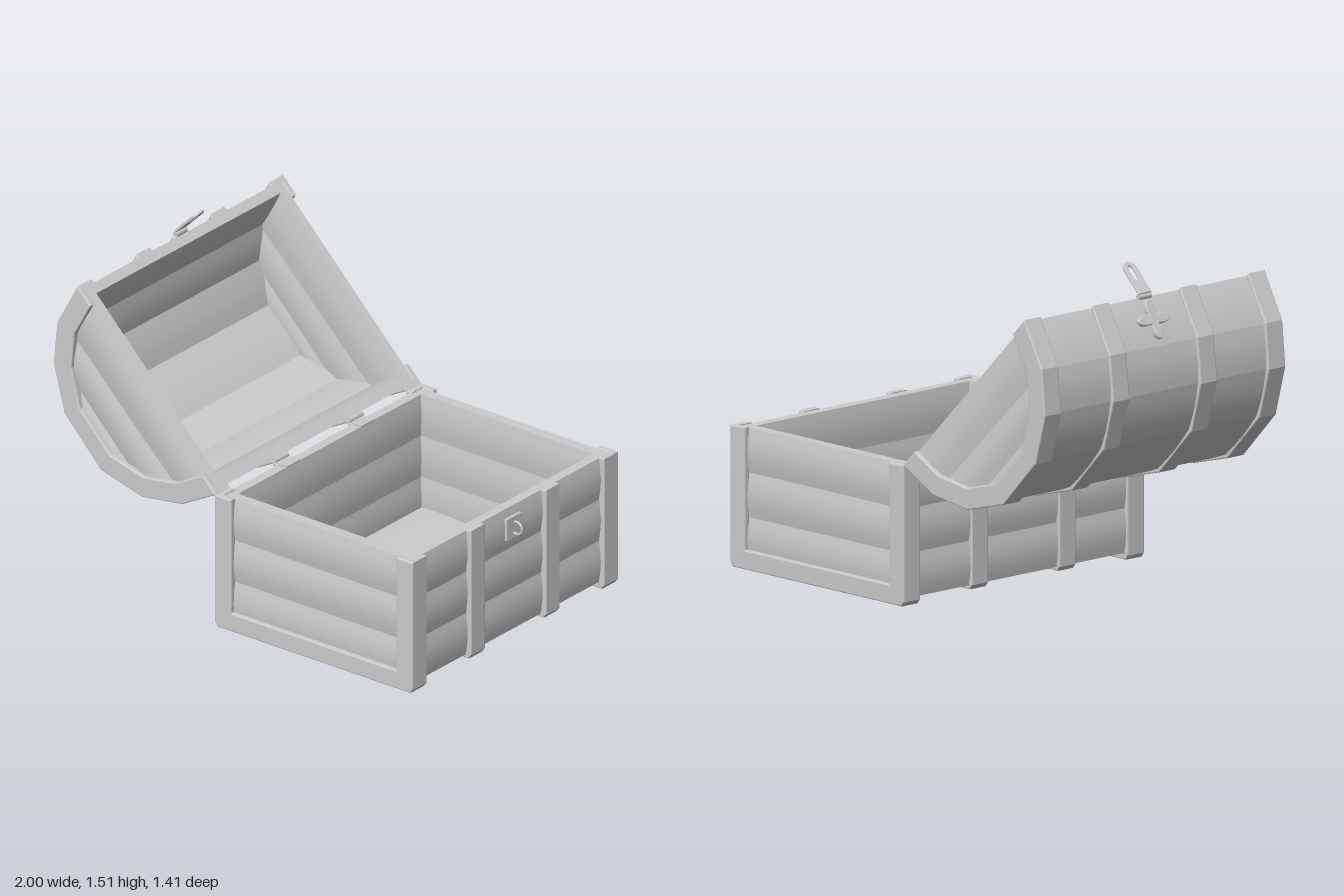
import * as THREE from 'three';
import { toCreasedNormals } from 'three/addons/utils/BufferGeometryUtils.js';

const V = (x, y, z) => new THREE.Vector3(x, y, z);

// Slightly bulged board between edges a0-a1 and b0-b1 of its outer face;
// da and db lead from those edges to the inner face.
function plankGeometry(a0, a1, b0, b1, da, db, bulge = 0.012) {
  const n = 6, pos = [];
  const dir = da.clone().add(db).normalize();
  const section = (a, b) => {
    const outer = [], inner = [];
    for (let i = 0; i <= n; i++) {
      const t = i / n, h = bulge * Math.sin(Math.PI * t);
      const p = a.clone().lerp(b, t);
      outer.push(p.clone().addScaledVector(dir, -h));
      inner.push(p.add(da.clone().lerp(db, t)).addScaledVector(dir, h * 0.7));
    }
    return { outer, inner, loop: [...outer, ...inner.slice().reverse()] };
  };
  const s = section(a0, b0), e = section(a1, b1);
  const keep = b0.clone().sub(a0).cross(dir).dot(a1.clone().sub(a0)) > 0;
  const tri = (p, q, r) => (keep ? [p, q, r] : [p, r, q]).forEach(v => pos.push(v.x, v.y, v.z));
  const quad = (p, q, r, t) => { tri(p, q, r); tri(p, r, t); };
  for (let i = 0; i < s.loop.length; i++) {
    const j = (i + 1) % s.loop.length;
    quad(s.loop[i], s.loop[j], e.loop[j], e.loop[i]);
  }
  for (let i = 0; i < n; i++) {
    quad(s.outer[i], s.inner[i], s.inner[i + 1], s.outer[i + 1]);
    quad(e.outer[i], e.outer[i + 1], e.inner[i + 1], e.inner[i]);
  }
  const g = new THREE.BufferGeometry();
  g.setAttribute('position', new THREE.Float32BufferAttribute(pos, 3));
  return toCreasedNormals(g, 0.3);
}

// Flat outline extruded from z0 to z1 with a small bevel
function plateGeometry(shape, z0, z1, bevel = 0.006) {
  const g = new THREE.ExtrudeGeometry(shape, {
    depth: z1 - z0 - 2 * bevel, bevelThickness: bevel, bevelSize: bevel,
    bevelOffset: -bevel, bevelSegments: 2, curveSegments: 12,
  });
  return g.translate(0, 0, z0 + bevel);
}

const outline = (outer, inner) =>
  new THREE.Shape([...outer, ...inner.slice().reverse()].map(p => new THREE.Vector2(p[0], p[1])));

export function createModel() {
  const model = new THREE.Group();
  model.name = 'chest';
  const grey = new THREE.MeshStandardMaterial({ color: 0xcccccc });
  grey.name = 'plain grey';
  const add = (parent, name, geo) => {
    const m = new THREE.Mesh(geo, grey);
    m.name = name;
    parent.add(m);
    return m;
  };
  const part = name => {
    const g = new THREE.Group();
    g.name = name;
    model.add(g);
    return g;
  };

  // ---- Box: walls of three boards, floor of four ----
  const box = part('box');
  const xl = -0.1, xr = 0.93, zw = 0.675;
  for (let i = 0; i < 3; i++) {
    const y0 = 0.03 + i * 0.195, y1 = y0 + 0.195;
    for (const s of [1, -1]) {
      const d = V(0, 0, -0.05 * s);
      add(box, 'sideBoard', plankGeometry(
        V(xl, y0, s * zw), V(xr, y0, s * zw), V(xl, y1, s * zw), V(xr, y1, s * zw), d, d));
      const x = s > 0 ? xr : xl, e = V(-0.045 * s, 0, 0);
      add(box, s > 0 ? 'frontBoard' : 'backBoard', plankGeometry(
        V(x, y0, -0.66), V(x, y0, 0.66), V(x, y1, -0.66), V(x, y1, 0.66), e, e));
    }
  }
  for (let i = 0; i < 4; i++) {
    const x0 = -0.045 + i * 0.235 - (i === 0 ? 0.045 : 0);
    const x1 = -0.045 + (i + 1) * 0.235 + (i === 3 ? 0.03 : 0);
    const d = V(0, 0.045, 0);
    add(box, 'floorBoard', plankGeometry(
      V(x0, 0.035, -0.66), V(x0, 0.035, 0.66), V(x1, 0.035, -0.66), V(x1, 0.035, 0.66), d, d));
  }

  // U-shaped bands around the box
  const uBand = (w, wBottom, bottom = 0, top = 0.62) => outline(
    [[-0.12, top], [-0.12, bottom + 0.02], [-0.105, bottom], [0.945, bottom], [0.96, bottom + 0.02], [0.96, top]],
    [[-0.12 + w, top], [-0.12 + w, bottom + wBottom], [0.96 - w, bottom + wBottom], [0.96 - w, top]]);

  // ---- Lid: seven boards over an arch, already swung open ----
  const lid = part('lid');
  const arch = [[-0.87, 1.38], [-0.98, 1.18], [-1, 0.98], [-0.94, 0.76],
    [-0.74, 0.55], [-0.515, 0.49], [-0.3, 0.52], [-0.115, 0.62]];
  const scaled = k => arch.map(([x, y]) => [-0.49 + (x + 0.49) * k, 1 + (y - 1) * k]);
  const shell = scaled(0.965), lining = scaled(0.88);
  const at = (p, z) => V(p[0], p[1], z);
  const inset = i => V(lining[i][0] - shell[i][0], lining[i][1] - shell[i][1], 0);
  for (let i = 0; i < 7; i++) {
    add(lid, 'lidBoard', plankGeometry(
      at(shell[i], -0.66), at(shell[i], 0.66), at(shell[i + 1], -0.66), at(shell[i + 1], 0.66),
      inset(i), inset(i + 1), 0.008));
  }
  for (const s of [1, -1]) {
    const z = s * zw, d = V(0, 0, -0.045 * s);
    for (let i = 0; i < 3; i++) {
      add(lid, 'lidEndBoard', plankGeometry(
        at(shell[i], z), at(shell[7 - i], z), at(shell[i + 1], z), at(shell[6 - i], z), d, d));
    }
  }
  const lidBand = k => outline(arch, scaled(k));

  // ---- Corner frames, straps and hinges, mirrored ----
  const fittings = part('fittings');
  const span = (s, a, b) => (s > 0 ? [a, b] : [-b, -a]);
  for (const s of [1, -1]) {
    add(fittings, 'boxEndFrame', plateGeometry(uBand(0.09, 0.085), ...span(s, 0.675, 0.705)));
    add(fittings, 'boxCornerBand', plateGeometry(uBand(0.032, 0.035), ...span(s, 0.605, 0.705)));
    add(fittings, 'boxStrap', plateGeometry(uBand(0.03, 0.03, 0.013), ...span(s, 0.207, 0.305)));
    add(fittings, 'lidEndFrame', plateGeometry(lidBand(0.81), ...span(s, 0.675, 0.705)));
    add(fittings, 'lidCornerBand', plateGeometry(lidBand(0.95), ...span(s, 0.605, 0.705)));
    add(fittings, 'lidStrap', plateGeometry(lidBand(0.95), ...span(s, 0.207, 0.305)));
    for (const dz of [-0.032, 0, 0.032]) {
      const knuckle = add(fittings, 'hingeKnuckle', new THREE.CylinderGeometry(0.014, 0.014, 0.029, 12));
      knuckle.rotation.x = Math.PI / 2;
      knuckle.position.set(-0.122, 0.626, s * 0.255 + dz);
    }
    const leaf = add(fittings, 'hingeLeaf', new THREE.BoxGeometry(0.07, 0.01, 0.09));
    leaf.position.set(-0.085, 0.617, s * 0.255);
    const lidLeaf = add(fittings, 'hingeLeaf', new THREE.BoxGeometry(0.05, 0.01, 0.09));
    lidLeaf.position.set(-0.14, 0.642, s * 0.255);
    lidLeaf.rotation.z = -Math.PI / 4;
  }

  // ---- Lock: plate and staple on the box, hasp on the lid ----
  const lock = part('lock');
  add(lock, 'lockPlate', new THREE.BoxGeometry(0.016, 0.1, 0.1)).position.set(0.944, 0.525, 0);
  add(lock, 'staple', new THREE.TorusGeometry(0.029, 0.006, 8, 24)).position.set(0.965, 0.523, 0);

  const place = (mesh, angle, x, y) => {
    const u = V(Math.cos(angle), Math.sin(angle), 0), n = V(-u.y, u.x, 0);
    mesh.quaternion.setFromRotationMatrix(new THREE.Matrix4().makeBasis(V(0, 0, 1), u, n));
    mesh.position.set(x, y, 0);
  };
  const leafPoints = [];
  for (let i = 0; i < 48; i++) {
    const a = i / 48 * Math.PI * 2, r = 0.06 + 0.03 * Math.cos(4 * a);
    leafPoints.push(new THREE.Vector2(Math.cos(a) * r, Math.sin(a) * r));
  }
  const backplate = add(lock, 'haspBackplate', plateGeometry(new THREE.Shape(leafPoints), 0, 0.02, 0.004));
  place(backplate, 1.068, -0.915, 1.278);

  const tongue = new THREE.Shape();
  tongue.moveTo(-0.036, 0);
  tongue.lineTo(0.036, 0);
  tongue.lineTo(0.036, 0.13);
  tongue.absarc(0, 0.13, 0.036, 0, Math.PI);
  const slot = new THREE.Path();
  slot.absellipse(0, 0.105, 0.016, 0.04, 0, Math.PI * 2);
  tongue.holes.push(slot);
  place(add(lock, 'hasp', plateGeometry(tongue, 0, 0.012, 0.003)), Math.PI / 4, -0.868, 1.383);
  const pin = add(lock, 'haspPin', new THREE.CylinderGeometry(0.013, 0.013, 0.07, 12));
  pin.rotation.x = Math.PI / 2;
  pin.position.set(-0.868, 1.375, 0);

  return model;
}
